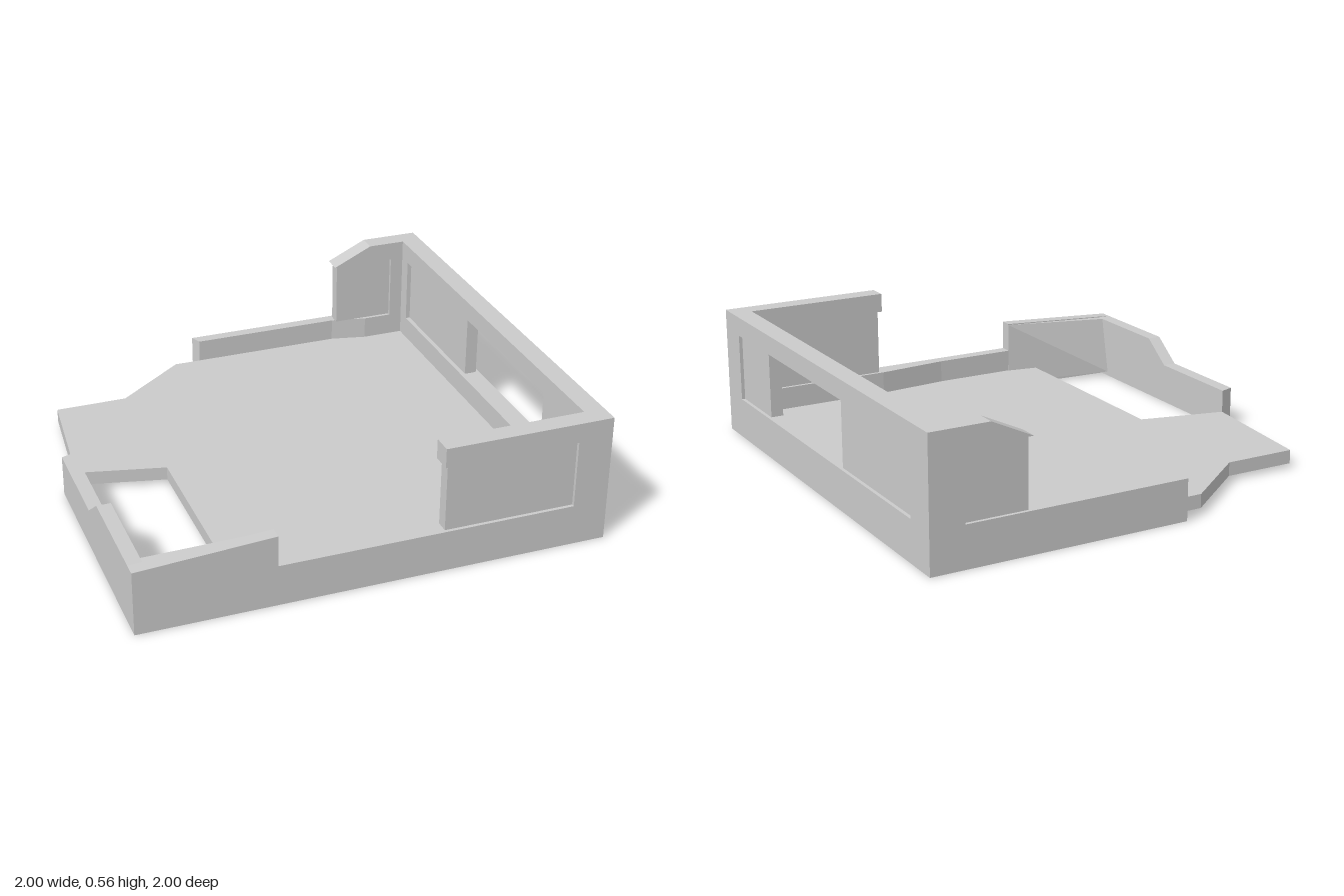
import * as THREE from 'three';

const material = new THREE.MeshStandardMaterial({ color: 0xcccccc, flatShading: true });
const SILL = 0.18, LINTEL = 0.475, TOP = 0.56;

export function createModel() {
  const model = new THREE.Group();

  const add = (name, geometry) => {
    const mesh = new THREE.Mesh(geometry, material);
    mesh.name = name;
    model.add(mesh);
  };
  const shapeOf = (points) => new THREE.Shape(points.map(([a, b]) => new THREE.Vector2(a, b)));
  const extrude = (points, depth) =>
    new THREE.ExtrudeGeometry(shapeOf(points), { depth, bevelEnabled: false });

  // Outline in x,z raised from y0 to y1
  const plan = (name, points, y0, y1) =>
    add(name, extrude(points.map(([x, z]) => [x, -z]), y1 - y0).rotateX(-Math.PI / 2).translate(0, y0, 0));
  // Outline in x,y running from z0 to z1
  const frontElevation = (name, points, z0, z1) =>
    add(name, extrude(points, z1 - z0).translate(0, 0, z0));
  // Outline in z,y running from x0 to x1
  const sideElevation = (name, points, x0, x1) =>
    add(name, extrude(points.map(([z, y]) => [-z, y]), x1 - x0).rotateY(Math.PI / 2).translate(x0, 0, 0));
  const box = (name, x0, x1, y0, y1, z0, z1) =>
    add(name, new THREE.BoxGeometry(x1 - x0, y1 - y0, z1 - z0)
      .translate((x0 + x1) / 2, (y0 + y1) / 2, (z0 + z1) / 2));

  // Broken floor slab
  plan('floor', [
    [-0.88, -0.7], [-0.56, -0.7], [-0.24, -0.95], [0.95, -0.95], [0.95, 0.95],
    [-0.56, 0.95], [-0.56, -0.03], [-0.94, -0.12],
  ], 0.02, 0.08);

  // Low wall up to the window sills, around three and a half sides
  plan('lowerWall', [
    [-0.14, -1], [1, -1], [1, 1], [-1, 1], [-1, -0.1], [-0.94, -0.12], [-0.94, 0.91],
    [-0.42, 0.945], [-0.05, 0.945], [0.27, 0.915], [0.91, 0.915], [0.91, -0.915],
    [0.72, -0.915], [0.56, -0.95], [-0.12, -0.95],
  ], 0, SILL);

  // Corner posts, mirrored front to back
  for (const s of [1, -1]) {
    plan(s > 0 ? 'frontCornerPost' : 'backCornerPost', [
      [0.85, s], [1, s], [1, 0.85 * s], [0.91, 0.85 * s], [0.91, 0.915 * s], [0.85, 0.915 * s],
    ], SILL, LINTEL);
  }

  // Beams above the openings
  box('rightBeam', 0.91, 1, LINTEL, TOP, -1, 1);
  box('frontBeam', 0.27, 0.91, LINTEL, TOP, 0.915, 1);
  frontElevation('backBeam', [[0.56, LINTEL], [0.91, LINTEL], [0.91, TOP], [0.74, TOP]], -1, -0.915);

  // Recessed panels that close parts of the openings
  box('frontPanel', 0.285, 0.85, SILL, LINTEL, 0.93, 0.985);
  box('backPanel', 0.575, 0.85, SILL, LINTEL, -0.985, -0.93);
  box('rightFrontPanel', 0.93, 0.985, SILL, LINTEL, 0.54, 0.85);
  box('rightBackPanel', 0.93, 0.985, SILL, LINTEL, -0.85, -0.21);

  // Broken upper walls at the left front corner
  sideElevation('leftUpperWall', [[0.355, SILL], [0.95, SILL], [0.95, 0.28], [0.49, 0.28]], -1, -0.94);
  frontElevation('frontUpperWall', [[-1, SILL], [-0.42, SILL], [-0.42, 0.315], [-1, 0.28]], 0.945, 1);

  // Sloping wedge on the inside of that corner, tapering along the front wall
  const wedge = new THREE.BufferGeometry();
  wedge.setAttribute('position', new THREE.Float32BufferAttribute([
    -0.94, 0.02, 0.855, -0.94, 0.28, 0.91, -0.94, 0.28, 0.95, -0.94, 0.02, 0.95,
    -0.42, 0.02, 0.94, -0.42, 0.31, 0.945, -0.42, 0.31, 0.95, -0.42, 0.02, 0.95,
  ], 3));
  const faces = [0, 3, 2, 0, 2, 1, 4, 5, 6, 4, 6, 7];
  for (let i = 0; i < 4; i++) {
    const j = (i + 1) % 4;
    faces.push(i, i + 1 > 3 ? 0 : j, j + 4, i, j + 4, i + 4);
  }
  wedge.setIndex(faces);
  const flatWedge = wedge.toNonIndexed();
  flatWedge.computeVertexNormals();
  add('cornerWedge', flatWedge);

  return model;
}
